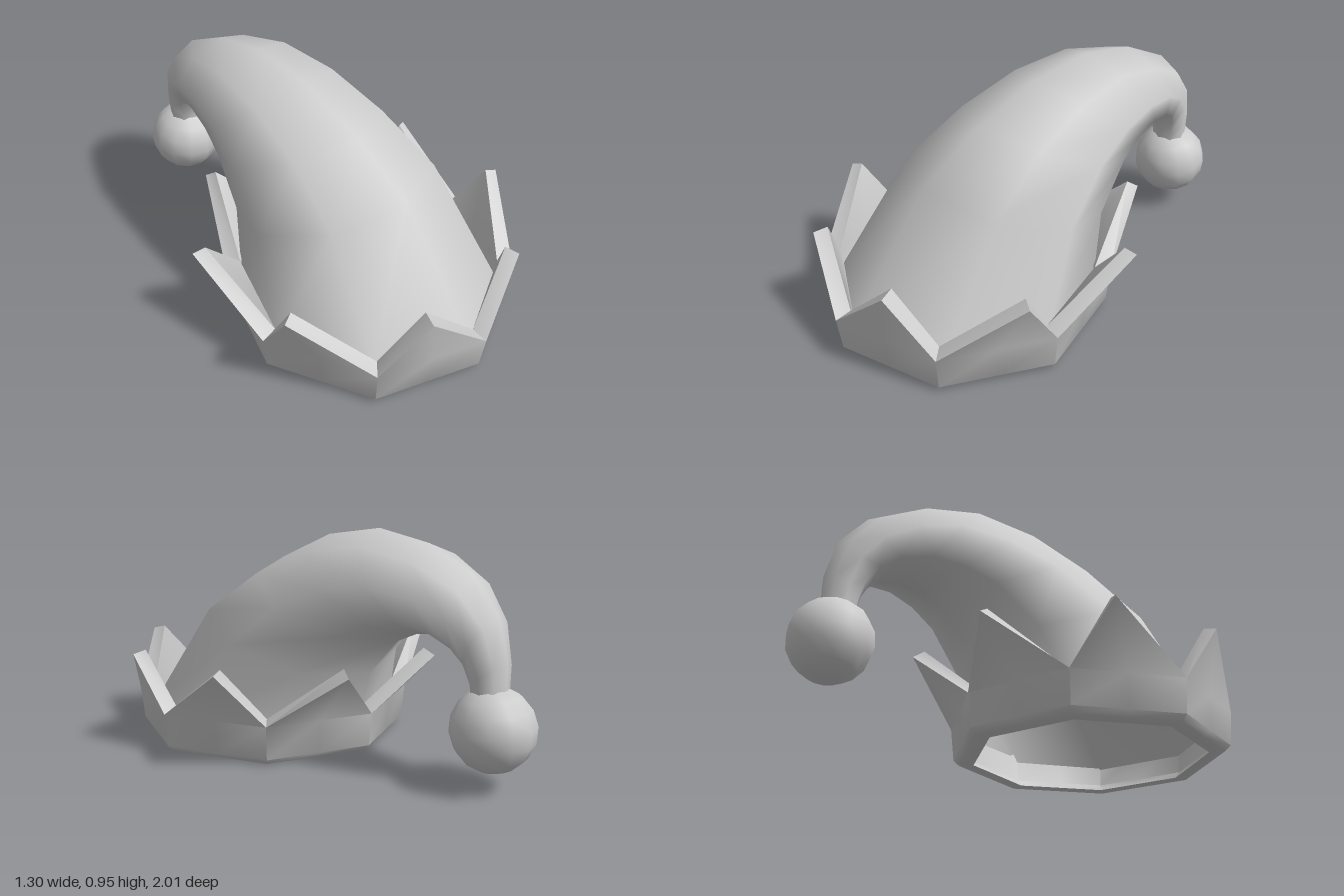
import * as THREE from 'three';
import { toCreasedNormals } from 'three/addons/utils/BufferGeometryUtils.js';

// Skin a list of closed rings (arrays of Vector3); optionally join last ring to first
function skin(rings, closed = false) {
  const n = rings[0].length, pos = [], index = [];
  rings.forEach(r => r.forEach(p => pos.push(p.x, p.y, p.z)));
  const last = closed ? rings.length : rings.length - 1;
  for (let j = 0; j < last; j++) {
    const k = (j + 1) % rings.length;
    for (let i = 0; i < n; i++) {
      const m = (i + 1) % n;
      const a = j * n + i, b = j * n + m, c = k * n + m, d = k * n + i;
      index.push(a, b, c, a, c, d);
    }
  }
  const g = new THREE.BufferGeometry();
  g.setAttribute('position', new THREE.Float32BufferAttribute(pos, 3));
  g.setIndex(index);
  g.computeVertexNormals();
  return g;
}

const V = (x, y, z) => new THREE.Vector3(x, y, z);
const CENTRE_Z = 0.39;

// Eight-sided ring with the midpoint of every side added (16 points)
function octagon(r, y) {
  const corner = i => V(r * Math.sin(i * Math.PI / 4), y, CENTRE_Z + r * Math.cos(i * Math.PI / 4));
  const pts = [];
  for (let i = 0; i < 8; i++) pts.push(corner(i), corner(i).lerp(corner(i + 1), 0.5));
  return pts;
}

// Replace the side midpoints by the raised points of the crown
function withPeaks(ring, peaks) {
  const all = [...peaks, ...peaks.slice().reverse().map(([x, y, z]) => [-x, y, z])];
  return ring.map((p, i) => (i % 2 ? V(...all[(i - 1) / 2]) : p));
}

export function createModel() {
  const group = new THREE.Group();
  const add = (name, geometry, side = THREE.FrontSide) => {
    const mesh = new THREE.Mesh(geometry, new THREE.MeshStandardMaterial({ color: 0xcccccc, side }));
    mesh.name = name;
    group.add(mesh);
    return mesh;
  };

  // Zigzag brim: outer wall, pointed rim, inner wall, front to back peaks
  const outerPeaks = [[0.27, 0.41, 0.935], [0.65, 0.41, 0.55], [0.645, 0.41, 0.02], [0.27, 0.395, -0.345]];
  const innerPeaks = [[0.25, 0.425, 0.88], [0.6, 0.425, 0.53], [0.595, 0.425, 0.04], [0.25, 0.425, -0.3]];
  const brim = skin([
    octagon(0.51, 0),
    octagon(0.575, 0),
    octagon(0.602, 0.025),
    octagon(0.617, 0.17),
    withPeaks(octagon(0.617, 0.17), outerPeaks),
    withPeaks(octagon(0.55, 0.185), innerPeaks),
    octagon(0.55, 0.185),
    octagon(0.535, 0.03),
  ], true);
  add('brim', toCreasedNormals(brim, 0.9));

  // Drooping cone: [ridge z, ridge y, underside z, underside y, half width]
  const sections = [
    [0.93, 0.11, -0.15, 0.11, 0.55],
    [0.57, 0.61, -0.21, 0.34, 0.44],
    [0.30, 0.79, -0.36, 0.505, 0.365],
    [0.02, 0.91, -0.46, 0.55, 0.31],
    [-0.26, 0.955, -0.56, 0.565, 0.26],
    [-0.51, 0.915, -0.65, 0.545, 0.205],
    [-0.72, 0.815, -0.70, 0.505, 0.155],
    [-0.84, 0.67, -0.725, 0.46, 0.115],
    [-0.885, 0.50, -0.74, 0.40, 0.085],
    [-0.885, 0.36, -0.745, 0.34, 0.075],
  ];
  const rings = sections.map(([fz, fy, bz, by, w]) => {
    const ring = [];
    for (let i = 0; i < 8; i++) {
      const a = i * Math.PI / 4, c = Math.cos(a) / 2;
      ring.push(V(w * Math.sin(a), (fy + by) / 2 + c * (fy - by), (fz + bz) / 2 + c * (fz - bz)));
    }
    return ring;
  });
  add('droopingCone', skin(rings), THREE.DoubleSide);

  // Ball at the tip
  const ball = add('pompom', new THREE.SphereGeometry(0.168, 12, 8));
  ball.position.set(0, 0.242, -0.832);
  ball.rotation.x = 0.15;

  return group;
}
